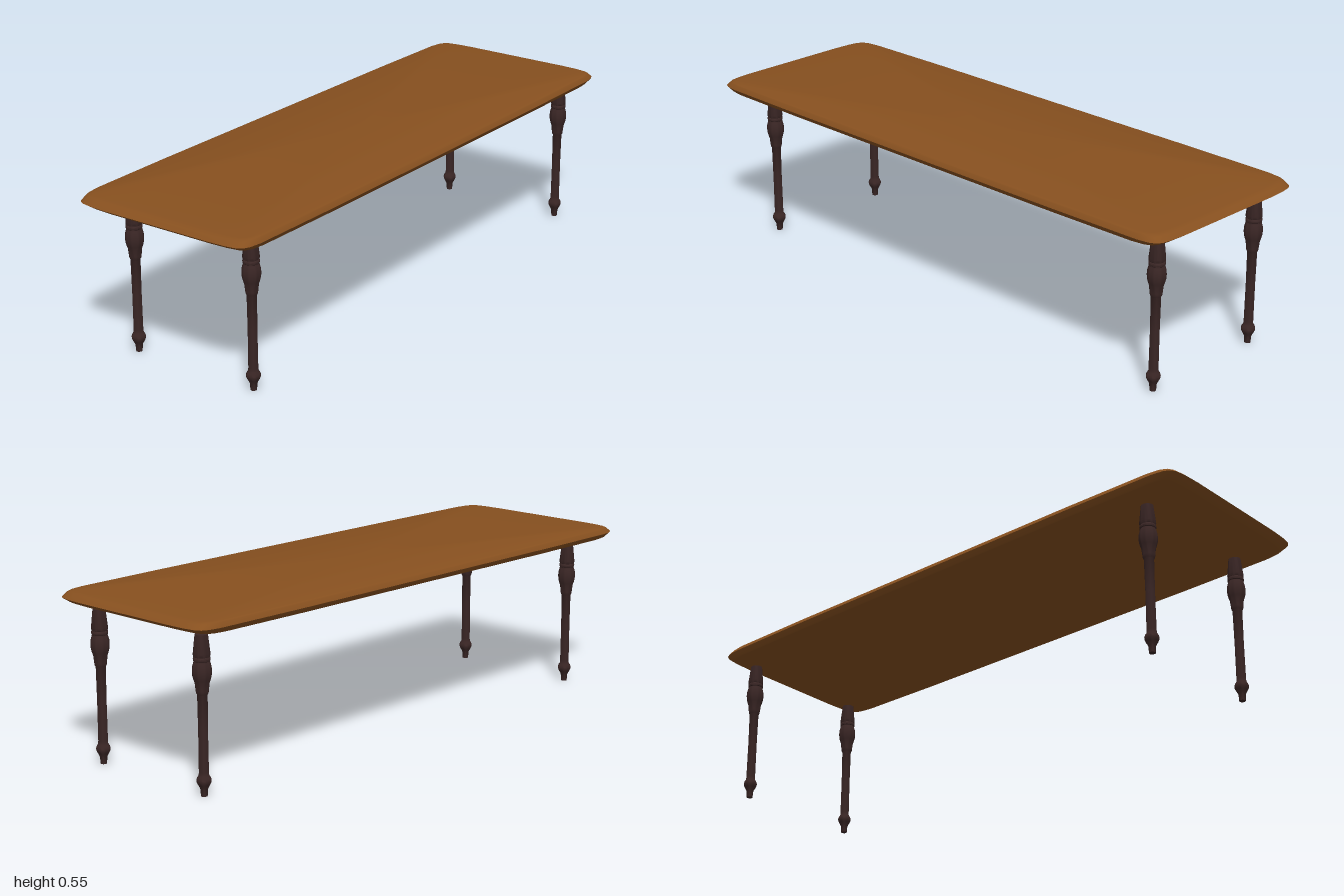
import * as THREE from 'three';
import { toCreasedNormals } from 'three/addons/utils/BufferGeometryUtils.js';

const wood = new THREE.MeshStandardMaterial({ color: 0x87501f });
wood.name = 'warm brown wood';
const darkWood = new THREE.MeshStandardMaterial({ color: 0x3a2625 });
darkWood.name = 'dark stained wood';

// Full plan outline of the slab, mirrored from one slightly bowed quarter
function outline() {
  const q = [[1, 0], [1, 0.2], [0.997, 0.26], [0.991, 0.295], [0.98, 0.313],
    [0.96, 0.323], [0.92, 0.329], [0.6, 0.333], [0, 0.333]];
  const half = [...q, ...q.slice(0, -1).reverse().map(([x, z]) => [-x, z])];
  return [...half, ...half.slice(1, -1).reverse().map(([x, z]) => [x, -z])];
}

// Slab made of outline rings with a pointed edge, capped above and below
function tableTopGeometry() {
  const plan = outline();
  // height, x inset, z inset
  const rings = [[0.512, 0.034, 0.013], [0.515, 0.022, 0.009], [0.53, 0, 0],
    [0.544, 0.015, 0.007], [0.547, 0.022, 0.01], [0.549, 0.036, 0.016]]
    .map(([y, ix, iz]) => plan.map(([x, z]) => [x * (1 - ix), y, z * (1 - iz / 0.333)]));
  const pos = [];
  const tri = (a, b, c) => pos.push(...a, ...b, ...c);
  const n = plan.length;
  const low = rings[0], high = rings[rings.length - 1];
  for (let i = 0; i < n; i++) {
    const j = (i + 1) % n;
    for (let r = 0; r < rings.length - 1; r++) {
      const a = rings[r], b = rings[r + 1];
      tri(a[i], b[i], a[j]);
      tri(b[i], b[j], a[j]);
    }
    tri([0, 0.549, 0], high[j], high[i]);
    tri([0, 0.512, 0], low[i], low[j]);
  }
  const g = new THREE.BufferGeometry();
  g.setAttribute('position', new THREE.Float32BufferAttribute(pos, 3));
  return toCreasedNormals(g, 0.6);
}

// Turned leg: foot, ankle bulb, shaft, vase, collar and tapered head
function legGeometry() {
  const profile = [[0, 0], [0.01, 0], [0.0115, 0.022], [0.014, 0.028], [0.0185, 0.036],
    [0.022, 0.044], [0.0225, 0.051], [0.02, 0.058], [0.0155, 0.065], [0.015, 0.075],
    [0.0145, 0.2], [0.0155, 0.312], [0.0185, 0.317], [0.0195, 0.325], [0.022, 0.348],
    [0.0255, 0.358], [0.0285, 0.37], [0.0295, 0.383], [0.0285, 0.397], [0.025, 0.41],
    [0.0235, 0.414], [0.0255, 0.416], [0.026, 0.421], [0.0255, 0.425], [0.0235, 0.427],
    [0.0255, 0.43], [0.026, 0.436], [0.0195, 0.495], [0, 0.495]];
  const points = profile.map(([r, y]) => new THREE.Vector2(r, y));
  return toCreasedNormals(new THREE.LatheGeometry(points, 28), 0.7);
}

export function createModel() {
  const table = new THREE.Group();
  table.name = 'table';

  const top = new THREE.Mesh(tableTopGeometry(), wood);
  top.name = 'tableTop';
  table.add(top);

  // Four legs, standing slightly off centre under the slab
  const leg = legGeometry();
  for (const [side, x] of [['Right', -0.834], ['Left', 0.911]]) {
    for (const [end, z] of [['front', 0.222], ['back', -0.236]]) {
      const mesh = new THREE.Mesh(leg, darkWood);
      mesh.name = `${end}${side}Leg`;
      mesh.position.set(x, 0, z);
      table.add(mesh);
    }
  }
  return table;
}
